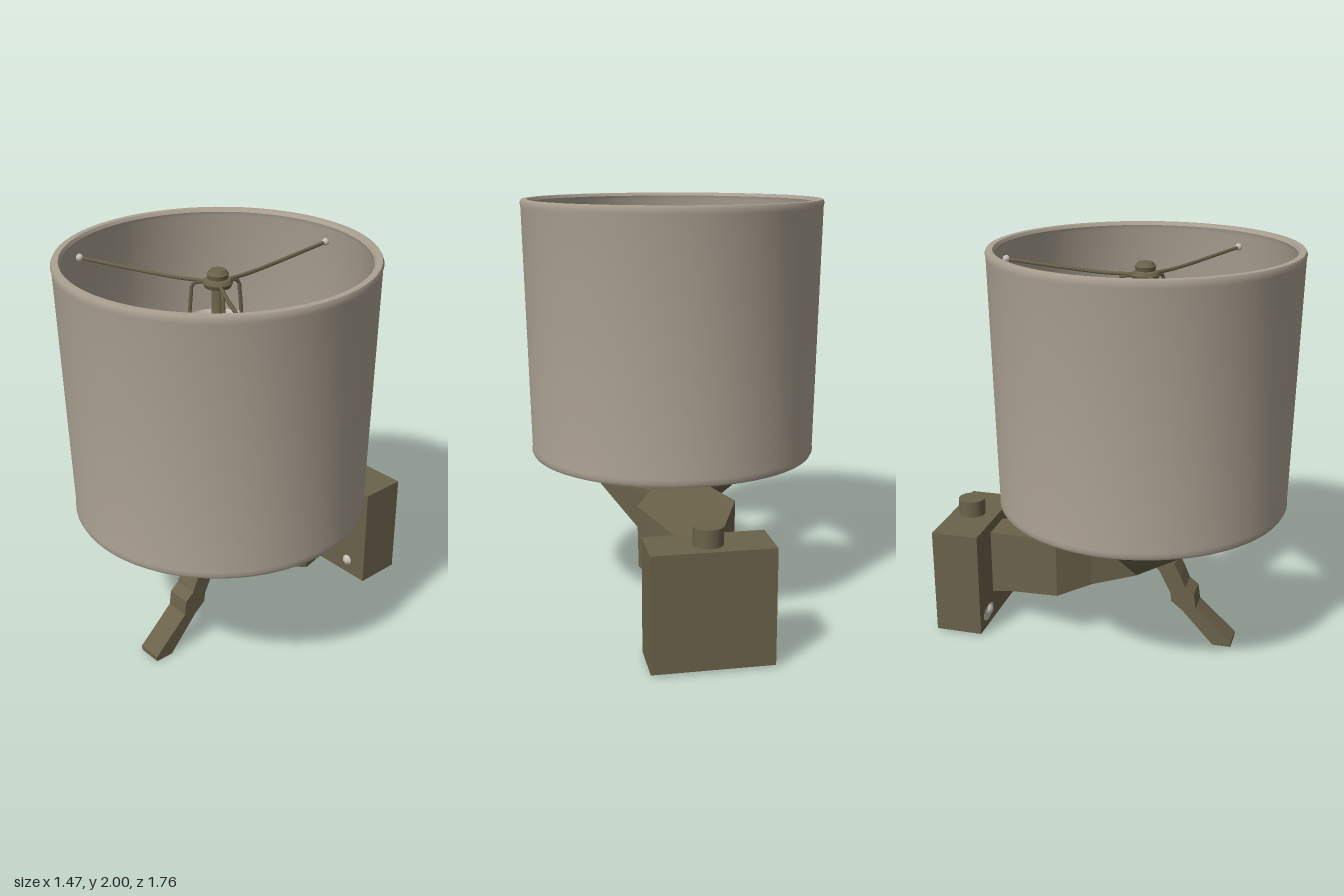
import * as THREE from 'three';
import { toCreasedNormals } from 'three/addons/utils/BufferGeometryUtils.js';

const AXIS_Z = 0.145; // centre line of the shade and stem

export function createModel() {
  const model = new THREE.Group();
  const fabric = new THREE.MeshStandardMaterial({ color: 0xaca293, name: 'linen' });
  const metal = new THREE.MeshStandardMaterial({ color: 0x6a624a, name: 'bronze' });
  const pale = new THREE.MeshStandardMaterial({ color: 0xc4bfb5, name: 'paleMetal' });

  const add = (name, geometry, material, x = 0, y = 0, z = 0) => {
    const mesh = new THREE.Mesh(geometry, material);
    mesh.name = name;
    mesh.position.set(x, y, z);
    model.add(mesh);
    return mesh;
  };
  const lathe = (name, profile, material, segments = 48) => add(name,
    toCreasedNormals(new THREE.LatheGeometry(profile.map(p => new THREE.Vector2(...p)), segments), 0.7),
    material, 0, 0, AXIS_Z);
  const wire = (name, points, radius) => add(name,
    new THREE.TubeGeometry(new THREE.CatmullRomCurve3(points), 12, radius, 6), metal, 0, 0, AXIS_Z);
  const polar = (r, y, a) => new THREE.Vector3(r * Math.sin(a), y, r * Math.cos(a));

  // Shade: a slightly flared drum with rolled hems
  lathe('shade', [
    [0.68, 0.765], [0.688, 0.752], [0.7, 0.75], [0.708, 0.765], [0.706, 0.785],
    [0.731, 1.965], [0.735, 1.985], [0.728, 2], [0.7, 2], [0.692, 1.985],
    [0.698, 1.965], [0.682, 0.785], [0.68, 0.765],
  ], fabric, 64);

  // Stem, collar and drip disc
  lathe('collar', [[0, 0.59], [0.13, 0.59], [0.13, 0.62], [0.1, 0.632], [0, 0.632]], metal);
  lathe('stem', [[0.065, 0.6], [0.065, 0.9]], metal, 24);
  lathe('dripDisc', [[0, 0.875], [0.06, 0.875], [0.17, 0.9], [0.17, 0.915], [0, 0.925]], metal);

  // Lamp socket: round cup, pale sleeve and inner holder
  lathe('socketCup', [[0.04, 0.92], [0.09, 0.95], [0.13, 1.02], [0.145, 1.1], [0.14, 1.16], [0, 1.16]], metal);
  lathe('sleeve', [
    [0.135, 1.13], [0.155, 1.13], [0.16, 1.6], [0.172, 1.67], [0.165, 1.68],
    [0.14, 1.62], [0.135, 1.13],
  ], pale);
  lathe('innerHolder', [[0.1, 1.15], [0.1, 1.55], [0.085, 1.6], [0.05, 1.6], [0.03, 1.66], [0.03, 1.85]], metal, 24);

  // Hub and finial
  lathe('finial', [
    [0, 1.85], [0.06, 1.85], [0.068, 1.87], [0.06, 1.885], [0.045, 1.89],
    [0.05, 1.91], [0.035, 1.93], [0, 1.935],
  ], metal, 24);

  // Upper spider: three arms and three legs down to the socket
  for (const a of [Math.PI, Math.PI / 3, -Math.PI / 3]) {
    wire('upperArm', [polar(0.04, 1.87, a), polar(0.2, 1.87, a), polar(0.69, 1.91, a)], 0.009);
    wire('hubLeg', [polar(0.04, 1.87, a), polar(0.12, 1.85, a), polar(0.13, 1.8, a), polar(0.145, 1.62, a)], 0.009);
    const tip = polar(0.68, 1.91, a);
    add('armTip', new THREE.SphereGeometry(0.018, 12, 8), pale, tip.x, tip.y, tip.z + AXIS_Z);
  }

  // Lower spider: eight thin wires
  for (const deg of [0, 38, 90, 142, 180, 218, 270, 322]) {
    const a = deg * Math.PI / 180;
    wire('lowerWire', [polar(0.1, 0.9, a), polar(0.3, 0.88, a), polar(0.685, 0.82, a)], 0.006);
  }

  // Bracket arm: cross-sections [z, half width, top, lip, bottom half width, bottom]
  const sections = [
    [0.44, 0.23, 0.6, 0.585, 0.21, 0.575],
    [0.13, 0.37, 0.6, 0.58, 0.07, 0.35],
    [-0.09, 0.15, 0.6, 0.58, 0.13, 0.3],
    [-0.24, 0.24, 0.572, 0.55, 0.235, 0.268],
    [-0.55, 0.1, 0.512, 0.5, 0.1, 0.185],
    [-0.65, 0.09, 0.505, 0.49, 0.09, 0.165],
  ].map(([z, w, top, lip, b, bottom]) =>
    [[w, top], [-w, top], [-w, lip], [-b, bottom], [b, bottom], [w, lip]].map(([x, y]) => [x, y, z]));
  const corners = [];
  for (let i = 0; i < sections.length - 1; i++) {
    for (let j = 0; j < 6; j++) {
      const k = (j + 1) % 6, f = sections[i], r = sections[i + 1];
      corners.push(f[j], r[j], f[k], f[k], r[j], r[k]);
    }
  }
  for (let j = 1; j < 5; j++) corners.push(sections[0][0], sections[0][j], sections[0][j + 1]);
  const armGeometry = new THREE.BufferGeometry();
  armGeometry.setAttribute('position', new THREE.Float32BufferAttribute(corners.flat(), 3));
  armGeometry.computeVertexNormals();
  add('bracketArm', armGeometry, metal);

  // Curved handle below the arm, drawn in side profile (z, y)
  const handleShape = new THREE.Shape([
    [0.2, 0.48], [0.266, 0.475], [0.324, 0.43], [0.355, 0.37], [0.38, 0.31], [0.425, 0.275],
    [0.436, 0.2], [0.62, 0.03], [0.62, 0.005], [0.527, 0.005], [0.367, 0.18],
    [0.31, 0.225], [0.305, 0.27], [0.28, 0.32], [0.245, 0.39], [0.2, 0.43],
  ].map(p => new THREE.Vector2(...p)));
  const handle = add('handle',
    new THREE.ExtrudeGeometry(handleShape, { depth: 0.124, bevelEnabled: false }), metal, 0.062);
  handle.rotation.y = -Math.PI / 2;

  // Wall box: solid upper part over a frame that is open underneath
  const rect = (Target, w, d) => new Target([[-w, -d], [w, -d], [w, d], [-w, d]].map(p => new THREE.Vector2(...p)));
  const frame = rect(THREE.Shape, 0.28, 0.12);
  frame.holes.push(rect(THREE.Path, 0.245, 0.085));
  const frameMesh = add('wallBoxFrame',
    new THREE.ExtrudeGeometry(frame, { depth: 0.235, bevelEnabled: false }), metal, 0, 0.015, -0.76);
  frameMesh.rotation.x = -Math.PI / 2;
  add('wallBox', new THREE.BoxGeometry(0.56, 0.31, 0.24), metal, 0, 0.405, -0.76);
  add('topKnob', new THREE.CylinderGeometry(0.068, 0.068, 0.09, 32), metal, 0.008, 0.6, -0.775);

  // Screws on the front of the box, one with a worn patch behind it
  for (const x of [-0.158, 0.158]) {
    const screw = add('screw', new THREE.SphereGeometry(0.03, 16, 12), pale, x, 0.095, -0.645);
    screw.scale.z = 0.9;
  }
  const patch = add('wornPatch', new THREE.CircleGeometry(0.04, 20), pale, -0.17, 0.09, -0.637);
  patch.scale.x = 1.8;

  return model;
}
